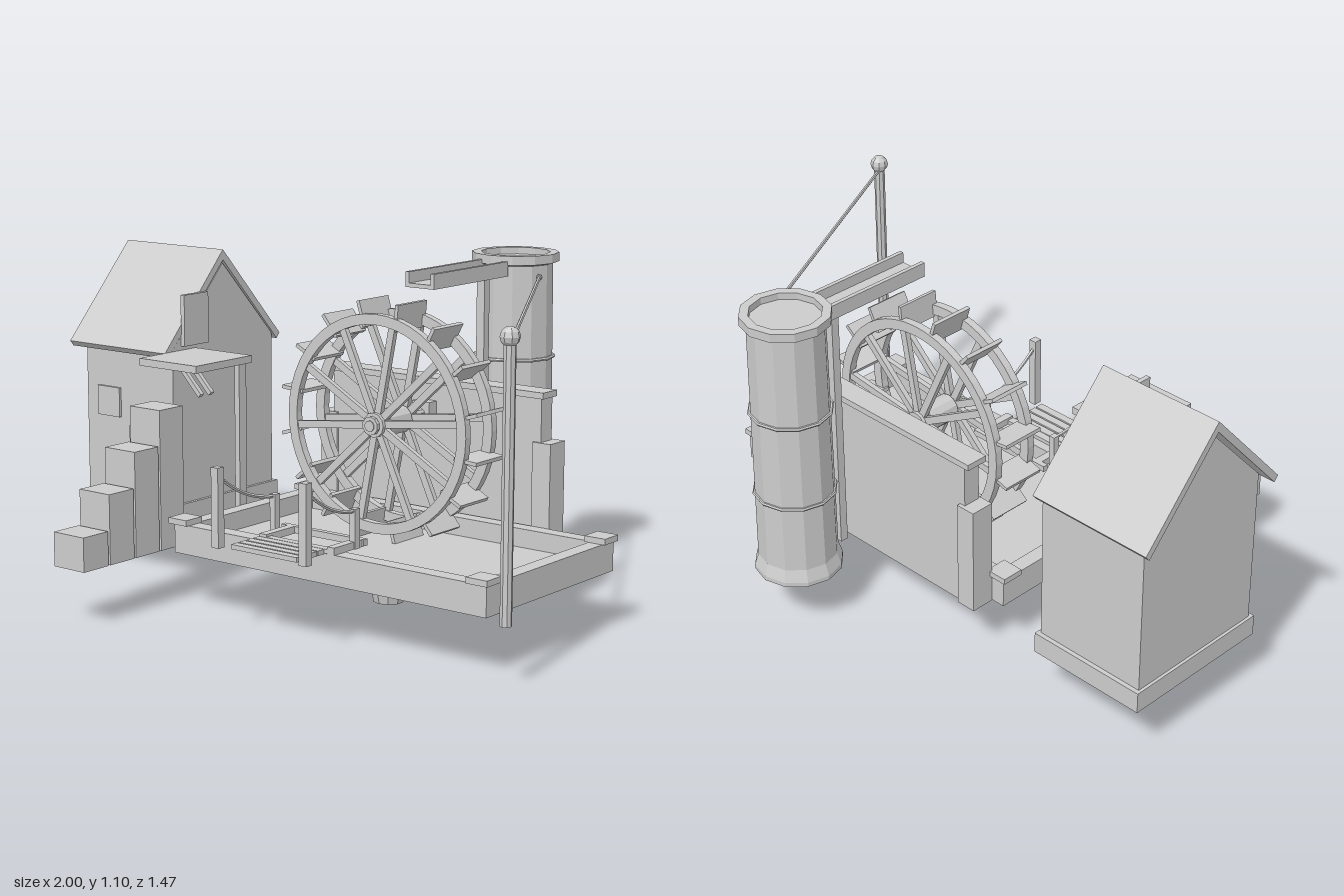
import * as THREE from 'three';

export function createModel() {
  const model = new THREE.Group();
  const stone = new THREE.MeshStandardMaterial({ color: 0xcccccc, flatShading: true, side: THREE.DoubleSide });
  stone.name = 'pale grey';

  const add = (name, geo, parent = model) => {
    const m = new THREE.Mesh(geo, stone);
    m.name = name;
    parent.add(m);
    return m;
  };
  const group = (name) => {
    const g = new THREE.Group();
    g.name = name;
    model.add(g);
    return g;
  };
  // Box given by its limits on each axis
  const box = (name, x0, x1, y0, y1, z0, z1, parent) => {
    const m = add(name, new THREE.BoxGeometry(x1 - x0, y1 - y0, z1 - z0), parent);
    m.position.set((x0 + x1) / 2, (y0 + y1) / 2, (z0 + z1) / 2);
    return m;
  };
  const V = (x, y, z) => new THREE.Vector3(x, y, z);
  // Straight round bar between two points
  const bar = (name, a, b, r, parent, sides = 6) => {
    const m = add(name, new THREE.CylinderGeometry(r, r, a.distanceTo(b), sides), parent);
    m.position.copy(a).lerp(b, 0.5);
    m.quaternion.setFromUnitVectors(V(0, 1, 0), b.clone().sub(a).normalize());
    return m;
  };
  // Outline in the z-y plane, extruded along x
  const sideExtrude = (name, pts, x0, x1, parent) => {
    const shape = new THREE.Shape(pts.map(([z, y]) => new THREE.Vector2(-z, y)));
    const m = add(name, new THREE.ExtrudeGeometry(shape, { depth: x1 - x0, bevelEnabled: false }), parent);
    m.rotation.y = Math.PI / 2;
    m.position.x = x0;
    return m;
  };

  // House
  const house = group('house');
  box('houseBase', -0.97, -0.556, 0.18, 0.25, -0.405, 0.125, house);
  sideExtrude('houseWalls', [[-0.39, 0.18], [0.11, 0.18], [0.11, 0.77], [-0.14, 1.035], [-0.39, 0.77]], -0.96, -0.568, house);
  sideExtrude('roof', [[0.15, 0.765], [-0.14, 1.08], [-0.43, 0.765], [-0.415, 0.747], [-0.14, 1.045], [0.135, 0.747]], -1, -0.565, house);
  box('door', -0.76, -0.625, 0.25, 0.5, 0.11, 0.119, house);
  box('window', -0.905, -0.805, 0.52, 0.62, 0.11, 0.119, house);
  box('gableShutter', -0.568, -0.552, 0.78, 0.95, -0.05, 0.068, house);

  // Porch landing with post and braces
  const porch = group('porch');
  box('porchSlab', -0.565, -0.32, 0.743, 0.767, 0, 0.27, porch);
  box('porchPost', -0.352, -0.332, 0.18, 0.743, 0.015, 0.05, porch);
  for (const z of [0.045, 0.095]) {
    const brace = box('porchBrace', -0.075, 0.075, -0.008, 0.008, -0.008, 0.008, porch);
    brace.position.set(-0.51, 0.685, z);
    brace.rotation.z = -0.8;
  }

  // Stepping blocks
  const stairs = group('stairs');
  [0.635, 0.52, 0.405, 0.29].forEach((h, i) => {
    const z = 0.275 + i * 0.116;
    box('step', -0.503, -0.375, 0.18, h, z, z + 0.108, stairs);
  });

  // Basin
  const basin = group('basin');
  box('basinFloor', -0.29, 0.83, 0.192, 0.215, -0.27, 0.325, basin);
  box('frontBeam', -0.33, 0.875, 0.18, 0.275, 0.315, 0.368, basin);
  box('backBeam', -0.33, 0.875, 0.18, 0.275, -0.31, -0.26, basin);
  box('rightBeam', -0.33, -0.28, 0.18, 0.275, -0.26, 0.315, basin);
  box('leftBeam', 0.825, 0.875, 0.18, 0.275, -0.26, 0.315, basin);
  for (const x of [-0.345, 0.81])
    for (const z of [-0.32, 0.305]) box('cornerCap', x, x + 0.075, 0.275, 0.294, z, z + 0.075, basin);

  // Back wall
  const wall = group('backWall');
  box('wallPanel', -0.235, 0.595, 0.18, 0.685, -0.38, -0.32, wall);
  box('wallCap', -0.257, 0.607, 0.685, 0.705, -0.387, -0.31, wall);
  for (const x of [-0.283, 0.568]) box('wallPier', x, x + 0.068, 0.18, 0.545, -0.393, -0.312, wall);

  // Water wheel
  const wheel = group('waterWheel');
  wheel.position.set(0.155, 0.59, -0.122);
  const ring = new THREE.Shape().absarc(0, 0, 0.352, 0, Math.PI * 2, false);
  ring.holes.push(new THREE.Path().absarc(0, 0, 0.318, 0, Math.PI * 2, true));
  const ringGeo = new THREE.ExtrudeGeometry(ring, { depth: 0.026, bevelEnabled: false, curveSegments: 24 });
  for (const z of [-0.07, 0.07]) {
    add('rim', ringGeo, wheel).position.z = z - 0.013;
    for (let i = 0; i < 10; i++) {
      const a = 0.12 + i * Math.PI / 5;
      const spoke = add('spoke', new THREE.BoxGeometry(0.3, 0.024, 0.018), wheel);
      spoke.position.set(Math.cos(a) * 0.175, Math.sin(a) * 0.175, z);
      spoke.rotation.z = a;
    }
  }
  for (let i = 0; i < 16; i++) {
    const a = 0.18 + i * Math.PI / 8;
    const paddle = add('paddle', new THREE.BoxGeometry(0.085, 0.012, 0.15), wheel);
    paddle.position.set(Math.cos(a) * 0.352, Math.sin(a) * 0.352, 0);
    paddle.rotation.z = a + 0.12;
  }
  bar('axle', V(0, 0, -0.19), V(0, 0, 0.112), 0.018, wheel, 10);
  bar('hubDrum', V(0, 0, -0.055), V(0, 0, 0.055), 0.045, wheel, 12);
  for (const z of [-0.09, 0.075]) bar('hubPlate', V(0, 0, z), V(0, 0, z + 0.016), 0.04, wheel, 12);
  bar('axleCap', V(0, 0, 0.095), V(0, 0, 0.108), 0.03, wheel, 10);
  box('bearing', -0.035, 0.035, -0.04, 0.04, -0.2, -0.158, wheel);

  // Round tower with an open rim and two bands
  const tower = group('tower');
  tower.position.set(0.3, 0, -0.597);
  const profile = [[0, 0.18], [0.142, 0.18], [0.142, 0.195], [0.129, 0.235], [0.122, 1.062], [0.142, 1.068],
    [0.142, 1.097], [0.113, 1.097], [0.113, 1.075], [0, 1.075]];
  add('towerBody', new THREE.LatheGeometry(profile.map(([r, y]) => new THREE.Vector2(r, y)), 12), tower);
  for (const y of [0.465, 0.757]) {
    const band = add('band', new THREE.TorusGeometry(0.129, 0.006, 6, 12), tower);
    band.rotation.x = Math.PI / 2;
    band.rotation.z = Math.PI / 6;
    band.position.y = y;
  }

  // Water trough and its post
  const trough = group('trough');
  box('troughFloor', 0.245, 0.355, 1.032, 1.045, -0.475, -0.075, trough);
  for (const x of [0.245, 0.341]) box('troughSide', x, x + 0.014, 1.045, 1.08, -0.475, -0.075, trough);
  box('troughPost', 0.285, 0.315, 0.18, 1.032, -0.43, -0.402, trough);

  // Tall pole and line to the tower
  const pole = group('pole');
  bar('poleShaft', V(0.965, 0.18, 0.4), V(0.965, 0.99, 0.4), 0.018, pole, 8);
  add('poleBall', new THREE.SphereGeometry(0.03, 8, 6), pole).position.set(0.965, 1.008, 0.4);
  bar('line', V(0.965, 0.985, 0.4), V(0.425, 1.027, -0.55), 0.006, pole);
  add('lineKnob', new THREE.SphereGeometry(0.011, 6, 4), pole).position.set(0.425, 1.027, -0.55);

  // Gangway with rope rails
  const gangway = group('gangway');
  for (const x of [0.025, 0.292]) box('stringer', x, x + 0.028, 0.275, 0.298, 0.22, 0.37, gangway);
  box('innerPlank', 0.0, 0.325, 0.277, 0.298, 0.215, 0.235, gangway);
  box('sill', 0.05, 0.295, 0.277, 0.29, 0.345, 0.372, gangway);
  for (let i = 0; i < 4; i++) {
    const z = 0.375 + i * 0.034;
    box('plank', 0.028, 0.285, 0.275, 0.29, z, z + 0.028, gangway);
  }
  for (const s of [-1, 1]) {
    const x = 0.155 + s * 0.172;
    box('outerRailPost', x - 0.014, x + 0.014, 0.275, 0.525, 0.5, 0.528, gangway);
    const xi = 0.155 + s * 0.158;
    box('innerRailPost', xi - 0.011, xi + 0.011, 0.275, 0.4, 0.25, 0.274, gangway);
    const curve = new THREE.QuadraticBezierCurve3(V(x, 0.5, 0.514), V(x, 0.4, 0.4), V(xi, 0.392, 0.262));
    add('railRope', new THREE.TubeGeometry(curve, 8, 0.006, 5), gangway);
  }

  // Hatch below the basin with a hanging bucket
  const well = group('well');
  box('hatchFrame', 0.065, 0.25, 0.165, 0.195, -0.2, -0.04, well);
  box('hatchTail', 0.115, 0.2, 0.165, 0.195, -0.285, -0.2, well);
  const bucket = add('bucket', new THREE.LatheGeometry(
    [[0, 0], [0.05, 0], [0.069, 0.088], [0.06, 0.088], [0.045, 0.02], [0, 0.02]].map(([r, y]) => new THREE.Vector2(r, y)), 10), well);
  bucket.position.set(0.155, 0, -0.116);
  for (const s of [-1, 1])
    bar('bucketRope', V(0.155 + s * 0.064, 0.085, -0.116), V(0.155 + s * 0.02, 0.17, -0.116), 0.004, well);

  return model;
}
